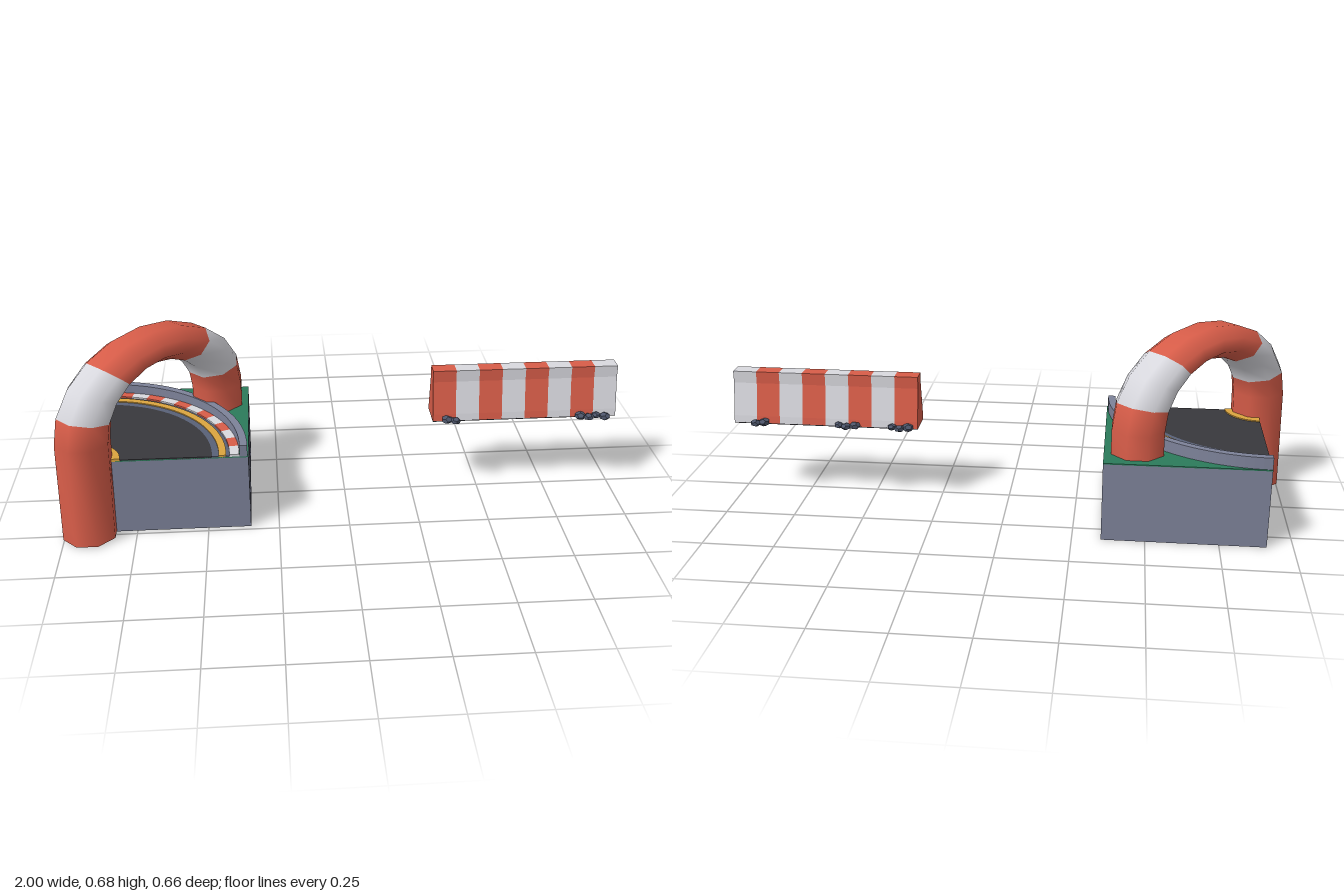
import * as THREE from 'three';

const mat = (name, color, side = THREE.FrontSide) => {
  const m = new THREE.MeshStandardMaterial({ color, side });
  m.name = name;
  return m;
};

export function createModel() {
  const red = mat('red', 0xd85d49);
  const white = mat('white', 0xd9d9df);
  const slate = mat('slate', 0x7d8299, THREE.DoubleSide);
  const panelSlate = mat('panel slate', 0x596178, THREE.DoubleSide);
  const rubble = mat('rubble', 0x4d556a);
  const asphalt = mat('asphalt', 0x39383d);
  const yellow = mat('yellow', 0xdba53f);
  const green = mat('green', 0x2c7b5b);

  const model = new THREE.Group();
  const add = (name, geometry, material, parent = model) => {
    const mesh = new THREE.Mesh(geometry, material);
    mesh.name = name;
    parent.add(mesh);
    return mesh;
  };
  const box = (name, w, h, d, x, y, z, material, parent) => {
    add(name, new THREE.BoxGeometry(w, h, d), material, parent).position.set(x, y, z);
  };

  // ---- Track block: hollow shell, open underneath ----
  const X0 = -0.91, X1 = -0.35, Z0 = -0.33, Z1 = 0.23, TOP = 0.28;
  const cx = (X0 + X1) / 2, cz = (Z0 + Z1) / 2, W = X1 - X0;
  const block = new THREE.Group();
  block.name = 'trackBlock';
  model.add(block);

  for (const s of [-1, 1]) {
    const wall = add('plainWall', new THREE.PlaneGeometry(W, TOP), slate, block);
    wall.position.set(cx, TOP / 2, cz + s * W / 2);
    if (s < 0) wall.rotation.y = Math.PI;
  }
  const ceiling = add('ceiling', new THREE.PlaneGeometry(W, W), slate, block);
  ceiling.rotation.x = Math.PI / 2;
  ceiling.position.set(cx, TOP - 0.003, cz);
  box('grassTop', W, 0.004, W, cx, TOP + 0.002, cz, green, block);

  // Recessed side walls: a frame with two openings, sloped reveals and sunken panels
  const rectPoints = (u, v, hw, hh) => [[u - hw, v - hh], [u + hw, v - hh], [u + hw, v + hh], [u - hw, v + hh]];
  const recess = 0.028, rim = 0.018, hw = 0.063, hh = 0.102, panelY = 0.143;
  for (const s of [-1, 1]) {
    const side = new THREE.Group();
    side.name = 'recessedWall';
    side.position.set(s > 0 ? X1 : X0, 0, cz);
    side.rotation.y = s * Math.PI / 2;
    block.add(side);
    const toShape = (pts, C = THREE.Shape) => new C(pts.map(p => new THREE.Vector2(...p)));
    const frame = toShape(rectPoints(0, TOP / 2, W / 2, TOP / 2));
    for (const u of [-0.141, 0.139]) {
      const outer = rectPoints(u, panelY, hw + rim, hh + rim);
      const inner = rectPoints(u, panelY, hw, hh);
      frame.holes.push(toShape(outer, THREE.Path));
      const pos = [];
      for (let i = 0; i < 4; i++) {
        const j = (i + 1) % 4;
        const a = [...outer[i], 0], b = [...outer[j], 0];
        const c = [...inner[j], -recess], d = [...inner[i], -recess];
        pos.push(...a, ...b, ...c, ...a, ...c, ...d);
      }
      const reveal = new THREE.BufferGeometry();
      reveal.setAttribute('position', new THREE.Float32BufferAttribute(pos, 3));
      reveal.computeVertexNormals();
      add('panelReveal', reveal, slate, side);
      add('sunkenPanel', new THREE.PlaneGeometry(hw * 2, hh * 2), panelSlate, side).position.set(u, panelY, -recess);
    }
    add('wallFrame', new THREE.ShapeGeometry(frame), slate, side);
  }

  // ---- Quarter-circle road, centred on the block's front corner ----
  const road = new THREE.Group();
  road.name = 'curvedRoad';
  road.position.set(X0, 0, Z1);
  model.add(road);
  const sector = (name, r0, r1, y0, y1, material, a0 = 0, a1 = Math.PI / 2) => {
    const shape = new THREE.Shape();
    shape.absarc(0, 0, r1, a0, a1, false);
    if (r0 > 0) shape.absarc(0, 0, r0, a1, a0, true);
    else shape.lineTo(0, 0);
    const g = new THREE.ExtrudeGeometry(shape, { depth: y1 - y0, bevelEnabled: false, curveSegments: 14 });
    g.rotateX(-Math.PI / 2).translate(0, y0, 0);
    add(name, g, material, road);
  };
  sector('asphalt', 0, 0.435, 0.28, 0.287, asphalt);
  sector('innerLine', 0.085, 0.12, 0.281, 0.291, yellow);
  sector('roadEdge', 0.435, 0.495, 0.28, 0.287, panelSlate);
  sector('outerLine', 0.458, 0.484, 0.281, 0.291, yellow);
  const KERBS = 13, step = Math.PI / 2 / KERBS;
  for (let i = 0; i < KERBS; i++) {
    sector('kerbBlock', 0.495, 0.529, 0.28, 0.293, i % 2 ? red : white, i * step, (i + 1) * step);
  }
  sector('guardWall', 0.53, 0.557, 0.28, 0.326, slate);

  // ---- Striped arch: octagonal tube standing diagonally over the road ----
  const arch = new THREE.Group();
  arch.name = 'stripedArch';
  arch.position.set(-0.685, 0, 0.0125);
  arch.rotation.y = Math.PI / 4;
  model.add(arch);
  const R = 0.3125, r = 0.097, rise = 0.25, riseTube = 0.062, springY = 0.37;
  const SIDES = 8, SEG = 10;
  const rings = [{ t: Math.PI, y: 0.004, lean: 0.01 }];
  for (let i = 0; i <= SEG; i++) rings.push({ t: Math.PI * (1 - i / SEG), lean: 0 });
  rings.push({ t: 0, y: 0.255, lean: 0 });
  const verts = [], index = [];
  for (const { t, y, lean } of rings) {
    for (let j = 0; j < SIDES; j++) {
      const p = (j + 0.5) / SIDES * Math.PI * 2;
      verts.push(
        (R + lean + r * Math.cos(p)) * Math.cos(t),
        y ?? springY + (rise + riseTube * Math.cos(p)) * Math.sin(t),
        r * Math.sin(p));
    }
  }
  const tube = new THREE.BufferGeometry();
  const whiteSpans = [2, 3, 8, 9];
  for (let i = 0; i < rings.length - 1; i++) {
    tube.addGroup(index.length, SIDES * 6, whiteSpans.includes(i) ? 1 : 0);
    for (let j = 0; j < SIDES; j++) {
      const k = (j + 1) % SIDES;
      const a = i * SIDES + j, b = a + SIDES, c = (i + 1) * SIDES + k, d = i * SIDES + k;
      index.push(a, d, b, b, d, c);
    }
  }
  tube.setAttribute('position', new THREE.Float32BufferAttribute(verts, 3));
  tube.setIndex(index);
  tube.computeVertexNormals();
  add('archTube', tube, [red, white], arch);
  for (const [u, y] of [[-R - 0.01, 0.004], [R, 0.255]]) {
    const cap = add('archFoot', new THREE.CircleGeometry(r, SIDES, Math.PI / SIDES), red, arch);
    cap.rotation.x = Math.PI / 2;
    cap.position.set(u, y, 0);
  }

  // ---- Striped road barrier ----
  const barrier = new THREE.Group();
  barrier.name = 'barrier';
  barrier.position.set(0.322, 0, -0.035);
  model.add(barrier);
  const half = [[0.0565, 0.286], [0.053, 0.312], [0.028, 0.43], [0.028, 0.473]];
  const outline = [...half, ...half.map(([x, y]) => [-x, y]).reverse()];
  const profile = new THREE.Shape(outline.map(p => new THREE.Vector2(...p)));
  const STRIPES = 8, sw = 0.678 / STRIPES;
  for (let i = 0; i < STRIPES; i++) {
    const g = new THREE.ExtrudeGeometry(profile, { depth: sw, bevelEnabled: false });
    g.rotateY(Math.PI / 2).translate(i * sw, 0, 0);
    add('barrierStripe', g, i % 2 ? white : red, barrier);
  }
  box('barrierBase', 0.678, 0.003, 0.113, 0.339, 0.2855, 0, asphalt, barrier);

  // Rubble heaps along the barrier's foot: [x, z, stones]
  const heaps = [[0.385, -0.1, 3], [0.58, -0.1, 3], [0.9, -0.1, 2], [0.388, 0.026, 2], [0.91, 0.03, 4]];
  for (const [x, z, n] of heaps) {
    const heap = new THREE.Group();
    heap.name = 'rubbleHeap';
    heap.position.set(x, 0.294, z);
    model.add(heap);
    for (let i = 0; i < n; i++) {
      const g = new THREE.DodecahedronGeometry(0.021 - 0.002 * (i % 3));
      const stone = add('stone', g, rubble, heap);
      stone.scale.y = 0.7;
      stone.position.set((i - (n - 1) / 2) * 0.029, 0, Math.sign(z) * (i % 2) * 0.012);
      stone.rotation.y = i * 1.3 + x * 5;
    }
  }
  return model;
}
